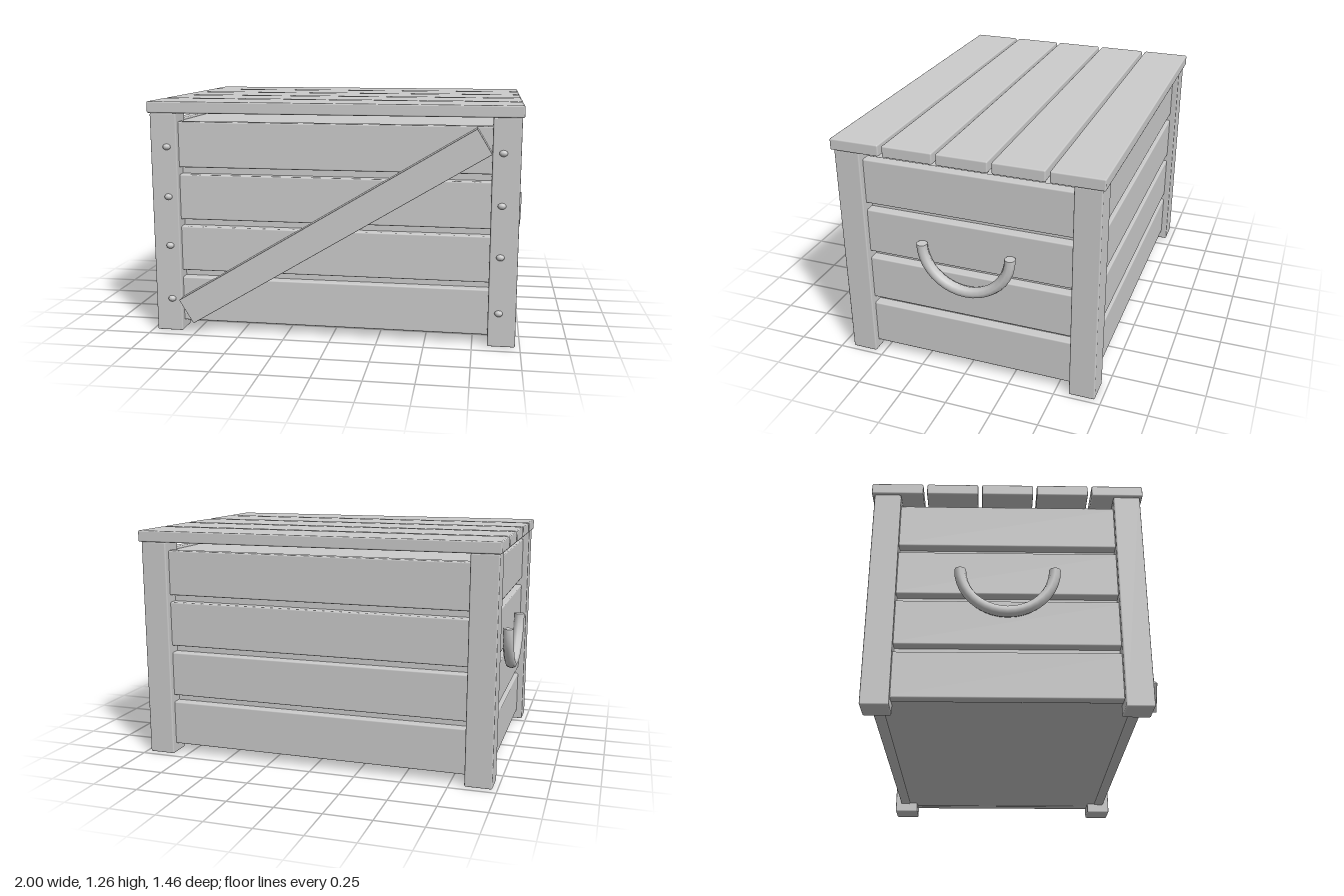
import * as THREE from 'three';
import { RoundedBoxGeometry } from 'three/addons/geometries/RoundedBoxGeometry.js';

export function createModel() {
  const model = new THREE.Group();
  model.name = 'slattedChest';
  const body = new THREE.Group(); // everything sits slightly behind the centre; the brace sticks out in front
  body.name = 'chestBody';
  body.position.z = -0.015;
  model.add(body);

  const grey = new THREE.MeshStandardMaterial({ color: 0xcccccc });
  grey.name = 'plain grey';

  function add(name, geometry, x, y, z) {
    const mesh = new THREE.Mesh(geometry, grey);
    mesh.name = name;
    mesh.position.set(x, y, z);
    body.add(mesh);
    return mesh;
  }
  const board = (w, h, d) => new RoundedBoxGeometry(w, h, d, 1, 0.008);

  // Inner box behind the plank gaps
  add('innerBox', new THREE.BoxGeometry(1.77, 1.085, 1.22), 0, 0.5975, 0);

  // Corner posts
  for (const x of [-0.9025, 0.9025])
    for (const z of [-0.63, 0.63])
      add('cornerPost', board(0.145, 1.2, 0.14), x, 0.6, z);

  // Four rows of planks on all sides
  for (let i = 0; i < 4; i++) {
    const y = 0.174 + i * 0.285;
    for (const s of [-1, 1]) {
      add(s > 0 ? 'frontPlank' : 'backPlank', board(1.72, 0.246, 0.06), 0, y, s * 0.635);
      add(s > 0 ? 'leftPlank' : 'rightPlank', board(0.06, 0.246, 1.2), s * 0.91, y, 0);
    }
  }

  // Lid slats
  for (let i = -2; i <= 2; i++)
    add('lidSlat', board(1.97, 0.062, 0.27), 0, 1.231, i * 0.29);

  // Diagonal brace between the front posts
  const brace = add('diagonalBrace', new RoundedBoxGeometry(1.852, 0.15, 0.08, 1, 0.003), 0, 0.603, 0.705);
  brace.rotation.z = Math.atan2(0.96, 1.585);

  // Flattened bolt heads on the front posts
  const boltGeometry = new THREE.SphereGeometry(1, 10, 6);
  for (const x of [-0.885, 0.885])
    for (const y of [0.182, 0.481, 0.75, 1.02])
      add('bolt', boltGeometry, x, y, 0.7).scale.set(0.022, 0.017, 0.018);

  // Hanging half-ring handles with closed ends
  const ring = new THREE.TorusGeometry(0.24, 0.03, 8, 20, Math.PI);
  ring.rotateZ(Math.PI);
  const cap = new THREE.CircleGeometry(0.03, 8);
  cap.rotateX(-Math.PI / 2);
  for (const s of [-1, 1]) {
    const handle = new THREE.Group();
    handle.name = s > 0 ? 'leftHandle' : 'rightHandle';
    handle.position.set(s * 0.97, 0.745, 0);
    handle.rotation.y = Math.PI / 2;
    const half = new THREE.Mesh(ring, grey);
    half.name = 'handleRing';
    handle.add(half);
    for (const e of [-1, 1]) {
      const end = new THREE.Mesh(cap, grey);
      end.name = 'handleEnd';
      end.position.x = e * 0.24;
      handle.add(end);
    }
    body.add(handle);
  }

  return model;
}
